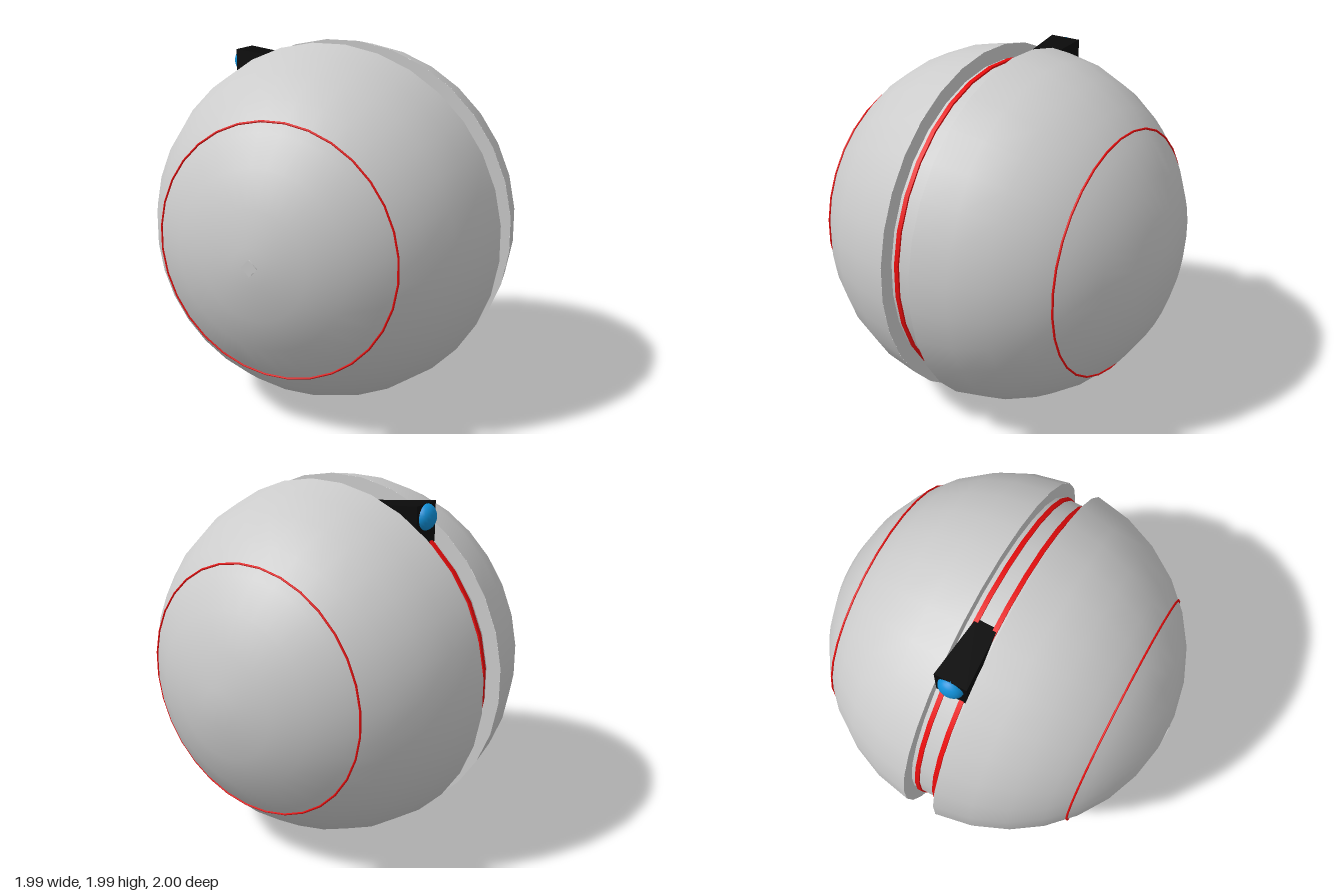
import * as THREE from 'three';

const SEG = 32;
const HALF = Math.PI / SEG; // half a facet, puts a flat edge on top
const R = 1.005;

const grey = new THREE.MeshStandardMaterial({ color: 0xcccccc });
const red = new THREE.MeshStandardMaterial({ color: 0xe80c0c });
const black = new THREE.MeshStandardMaterial({ color: 0x0a0a0a });
const blue = new THREE.MeshStandardMaterial({ color: 0x1090d8 });

function add(parent, name, geometry, material) {
  const mesh = new THREE.Mesh(geometry, material);
  mesh.name = name;
  parent.add(mesh);
  return mesh;
}

// Revolve [radius, z] points about the z axis
function revolve(points) {
  const profile = points.map(([r, z]) => new THREE.Vector2(r, z));
  return new THREE.LatheGeometry(profile, SEG, HALF).rotateX(Math.PI / 2);
}

// One half of the ball, facing +z, with its groove wall and thin cap ring
function createHalf(name) {
  const half = new THREE.Group();
  half.name = name;
  const points = [];
  for (let i = 0; i < 8; i++) {
    const a = HALF * (2 * i + 1);
    points.push([R * Math.cos(a), R * Math.sin(a)]);
  }
  points[0][1] = 0.09;
  points.push([0, R * Math.cos(HALF)]);
  add(half, 'shell', revolve(points), grey);

  const wall = new THREE.RingGeometry(0.88, 1, SEG, 1, HALF);
  wall.rotateY(Math.PI).translate(0, 0, 0.09);
  add(half, 'grooveWall', wall, grey);

  const ring = new THREE.TorusGeometry(0.684, 0.006, 6, SEG);
  ring.rotateZ(HALF).translate(0, 0, 0.735);
  add(half, 'capRing', ring, red);
  return half;
}

// Tapered housing running along x, wide at its -x end
function createHousing() {
  const geo = new THREE.BoxGeometry(1, 1, 1);
  const pos = geo.attributes.position;
  for (let i = 0; i < pos.count; i++) {
    const wide = pos.getX(i) < 0;
    const top = pos.getY(i) > 0;
    const y = wide ? (top ? 0.935 : 0.7) : (top ? 0.893 : 0.83);
    pos.setXYZ(i, wide ? -0.57 : -0.21, y, Math.sign(pos.getZ(i)) * (wide ? 0.09 : 0.06));
  }
  geo.computeVertexNormals();
  return geo;
}

export function createModel() {
  const model = new THREE.Group();
  model.name = 'splitBall';
  const ball = new THREE.Group();
  ball.name = 'ball';
  ball.position.set(0, 1, -0.01);
  model.add(ball);

  const front = createHalf('frontHalf');
  const back = createHalf('backHalf');
  back.rotation.y = Math.PI;
  ball.add(front, back);

  // Small four-sided stud on the front pole
  const stud = new THREE.CylinderGeometry(0.045, 0.045, 0.02, 4);
  stud.rotateX(Math.PI / 2).translate(0, 0, 0.994);
  add(front, 'frontStud', stud, grey);

  // Floor of the groove and the two raised bands around it
  add(ball, 'grooveFloor', revolve([[0.917, -0.095], [0.917, 0.095]]), grey);
  for (const z of [-0.053, 0.053]) {
    const group = new THREE.Group();
    group.name = z > 0 ? 'frontBand' : 'backBand';
    group.position.z = z;
    ball.add(group);
    add(group, 'bandRim', revolve([[0.927, -0.0125], [0.927, 0.0125]]), red);
    for (const turn of [0, Math.PI]) {
      const side = new THREE.RingGeometry(0.9, 0.927, SEG, 1, HALF);
      side.translate(0, 0, 0.0125).rotateY(turn);
      add(group, 'bandSide', side, red);
    }
  }

  // Eye unit riding in the groove
  const eye = new THREE.Group();
  eye.name = 'eye';
  ball.add(eye);
  add(eye, 'housing', createHousing(), black);
  const lens = add(eye, 'lens', new THREE.SphereGeometry(0.07, 20, 12).scale(0.75, 1, 1), blue);
  lens.position.set(-0.568, 0.865, 0);

  return model;
}
